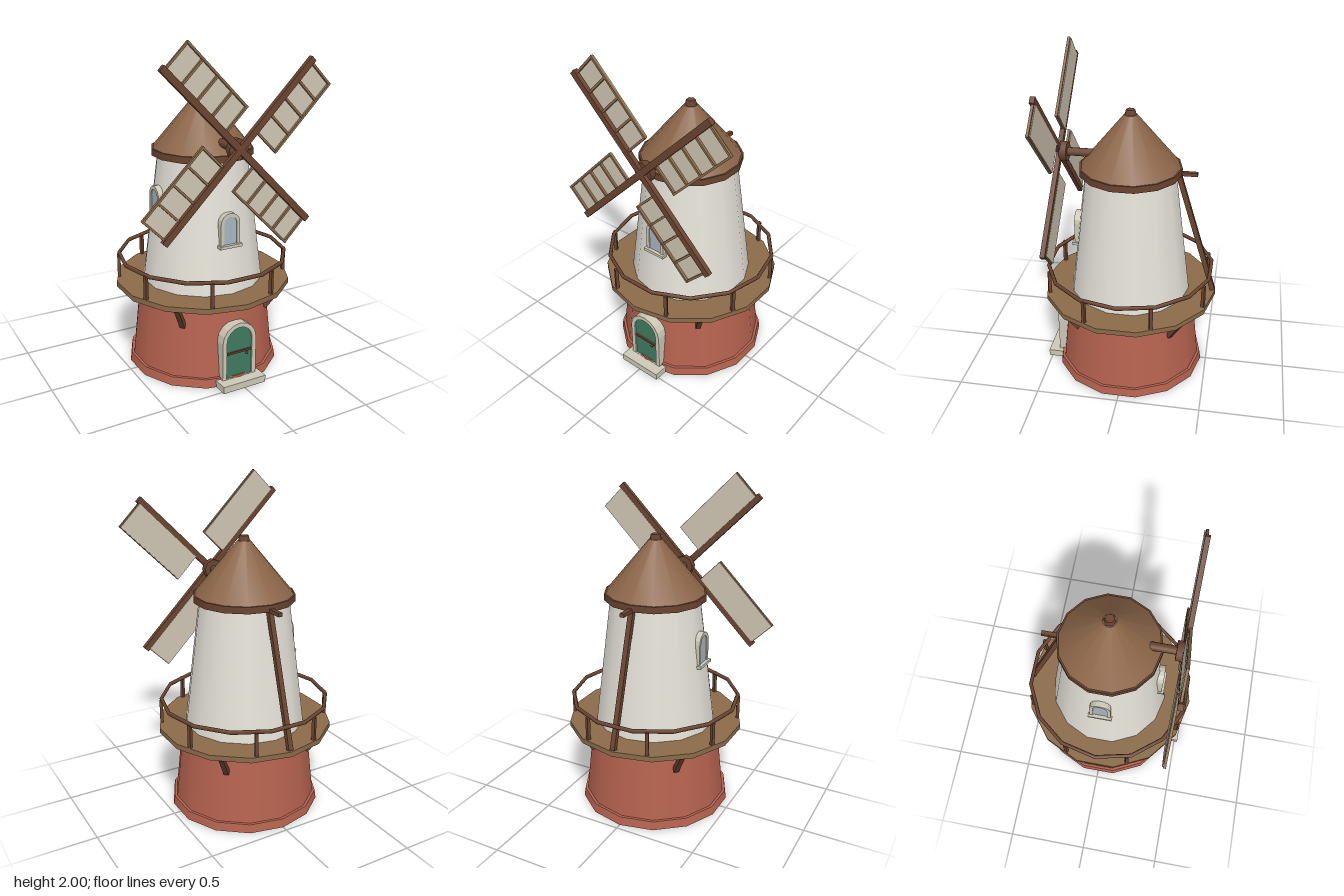
import * as THREE from 'three';

const mat = (color) => new THREE.MeshStandardMaterial({ color });
const brick = mat(0xb5624f), plaster = mat(0xe4e1d8), roof = mat(0x8b6548), plank = mat(0x8b6b4a);
const wood = mat(0x6b4430), cloth = mat(0xcfc6b3), stone = mat(0xcdc8b6), green = mat(0x3f7a5f), glass = mat(0xa9b5c2);
const SIDES = 14;

function add(parent, name, geometry, material, x = 0, y = 0, z = 0) {
  const mesh = new THREE.Mesh(geometry, material);
  mesh.name = name;
  mesh.position.set(x, y, z);
  parent.add(mesh);
  return mesh;
}

function subgroup(parent, name, x = 0, y = 0, z = 0) {
  const g = new THREE.Group();
  g.name = name;
  g.position.set(x, y, z);
  parent.add(g);
  return g;
}

const box = (w, h, d) => new THREE.BoxGeometry(w, h, d);

// Tapered many-sided ring standing between two heights
function drum(parent, name, material, rBottom, rTop, y0, y1, sides = SIDES) {
  return add(parent, name, new THREE.CylinderGeometry(rTop, rBottom, y1 - y0, sides), material, 0, (y0 + y1) / 2, 0);
}

// Square beam in the y-z plane between two points
function beam(parent, name, y0, z0, y1, z1, t) {
  const m = add(parent, name, box(t, Math.hypot(y1 - y0, z1 - z0), t), wood, 0, (y0 + y1) / 2, (z0 + z1) / 2);
  m.rotation.x = Math.atan2(z1 - z0, y1 - y0);
  return m;
}

// Round-headed outline, standing on y0 with its arch springing at y1
function trace(path, w, y0, y1) {
  path.moveTo(-w, y0);
  path.lineTo(w, y0);
  path.lineTo(w, y1);
  path.absarc(0, y1, w, 0, Math.PI, false);
  path.lineTo(-w, y0);
  return path;
}

const extrude = (shape, depth) => new THREE.ExtrudeGeometry(shape, { depth, bevelEnabled: false, curveSegments: 4 });

// Arched frame with a recessed panel; the front of the frame lies at z = 0
function archway(parent, name, panelName, panelMat, w, t, height, depth, recess) {
  const g = subgroup(parent, name);
  const outer = trace(new THREE.Shape(), w, 0, height - w);
  outer.holes.push(trace(new THREE.Path(), w - t, 0.004, height - w));
  add(g, name + 'Frame', extrude(outer, depth), stone, 0, 0, -depth);
  const panel = trace(new THREE.Shape(), w - t, 0.004, height - w);
  add(g, panelName, extrude(panel, depth - recess), panelMat, 0, 0, -depth);
  return g;
}

function addWindow(parent, name, y, distance, angle) {
  const pivot = subgroup(parent, name, 0, y, 0);
  pivot.rotation.y = angle;
  const g = archway(pivot, name + 'Arch', 'windowPane', glass, 0.063, 0.021, 0.195, 0.05, 0.006);
  g.position.z = distance;
  add(pivot, 'windowSill', box(0.145, 0.018, 0.055), stone, 0, -0.003, distance - 0.013);
}

function addSail(parent, angle) {
  const sail = subgroup(parent, 'sail');
  sail.rotation.z = angle;
  const u0 = 0.13, u1 = 0.642, v1 = 0.196, bar = 0.013;
  add(sail, 'sailStock', box(0.038, 0.657, 0.028), wood, 0, 0.3285, 0);
  add(sail, 'sailCloth', box(v1 - 0.02, u1 - u0 - 0.01, 0.005), cloth, (v1 + 0.012) / 2, (u0 + u1) / 2, -0.013);
  add(sail, 'sailEdge', box(bar, u1 - u0, 0.016), plank, v1 - bar / 2, (u0 + u1) / 2, 0);
  for (let i = 0; i <= 4; i++) {
    const u = u0 + bar / 2 + (i / 4) * (u1 - u0 - bar);
    add(sail, 'sailBar', box(v1, bar, 0.014), plank, v1 / 2, u, -0.001);
  }
}

export function createModel() {
  const mill = new THREE.Group();
  mill.name = 'windmill';

  // Brick base and plastered tower
  drum(mill, 'basePlinth', brick, 0.466, 0.458, 0, 0.053);
  drum(mill, 'baseWall', brick, 0.442, 0.398, 0.05, 0.46);
  drum(mill, 'baseBand', brick, 0.408, 0.405, 0.455, 0.512);
  drum(mill, 'tower', plaster, 0.373, 0.27, 0.51, 1.32);

  // Cap
  drum(mill, 'capEave', wood, 0.305, 0.305, 1.31, 1.35);
  drum(mill, 'capRoof', roof, 0.295, 0.038, 1.35, 1.66);
  drum(mill, 'finial', wood, 0.036, 0.027, 1.65, 1.69, 6);

  // Gallery with railing and struts
  const gallery = subgroup(mill, 'gallery');
  drum(gallery, 'galleryDeck', plank, 0.535, 0.535, 0.509, 0.541);
  const rail = new THREE.TorusGeometry(0.51, 0.012, 6, SIDES).rotateX(Math.PI / 2);
  add(gallery, 'galleryRail', rail, wood, 0, 0.685, 0);
  for (let i = 0; i < 8; i++) {
    const a = (i + 0.5) * Math.PI / 4;
    const post = add(gallery, 'railPost', box(0.02, 0.15, 0.02), wood, 0.512 * Math.sin(a), 0.61, 0.512 * Math.cos(a));
    post.rotation.y = a;
  }
  for (let i = 0; i < 4; i++) {
    const corner = subgroup(gallery, 'galleryStrut');
    corner.rotation.y = (i + 0.5) * Math.PI / 2;
    beam(corner, 'strut', 0.365, 0.4, 0.515, 0.505, 0.03);
  }

  // Door and step
  const door = archway(mill, 'door', 'doorPanel', green, 0.113, 0.027, 0.35, 0.08, 0.009);
  door.position.set(0, 0.04, 0.455);
  add(door, 'doorBar', box(0.168, 0.012, 0.012), wood, 0, 0.165, -0.005);
  add(door, 'doorKnob', new THREE.SphereGeometry(0.009, 8, 6), wood, 0.052, 0.146, -0.003);
  add(mill, 'doorStep', box(0.285, 0.042, 0.12), stone, 0, 0.021, 0.46);

  // Windows at the front and on the right flank
  addWindow(mill, 'frontWindow', 0.83, 0.338, 0);
  addWindow(mill, 'sideWindow', 0.95, 0.32, -Math.PI / 2);

  // Tail pole at the back
  const tail = subgroup(mill, 'tail');
  add(tail, 'tailBeam', box(0.026, 0.022, 0.2), wood, 0, 1.318, -0.295);
  beam(tail, 'tailPole', 0.545, -0.518, 1.318, -0.282, 0.03);

  // Axle, hub and four sails
  const axle = new THREE.CylinderGeometry(0.025, 0.025, 0.28, 10).rotateX(Math.PI / 2);
  add(mill, 'axle', axle, wood, 0, 1.41, 0.26);
  const hub = new THREE.CylinderGeometry(0.062, 0.062, 0.042, 8).rotateX(Math.PI / 2);
  add(mill, 'hub', hub, wood, 0, 1.41, 0.394);
  const rotor = subgroup(mill, 'rotor', 0, 1.41, 0.423);
  for (let i = 0; i < 4; i++) addSail(rotor, (i + 0.5) * Math.PI / 2);

  return mill;
}
